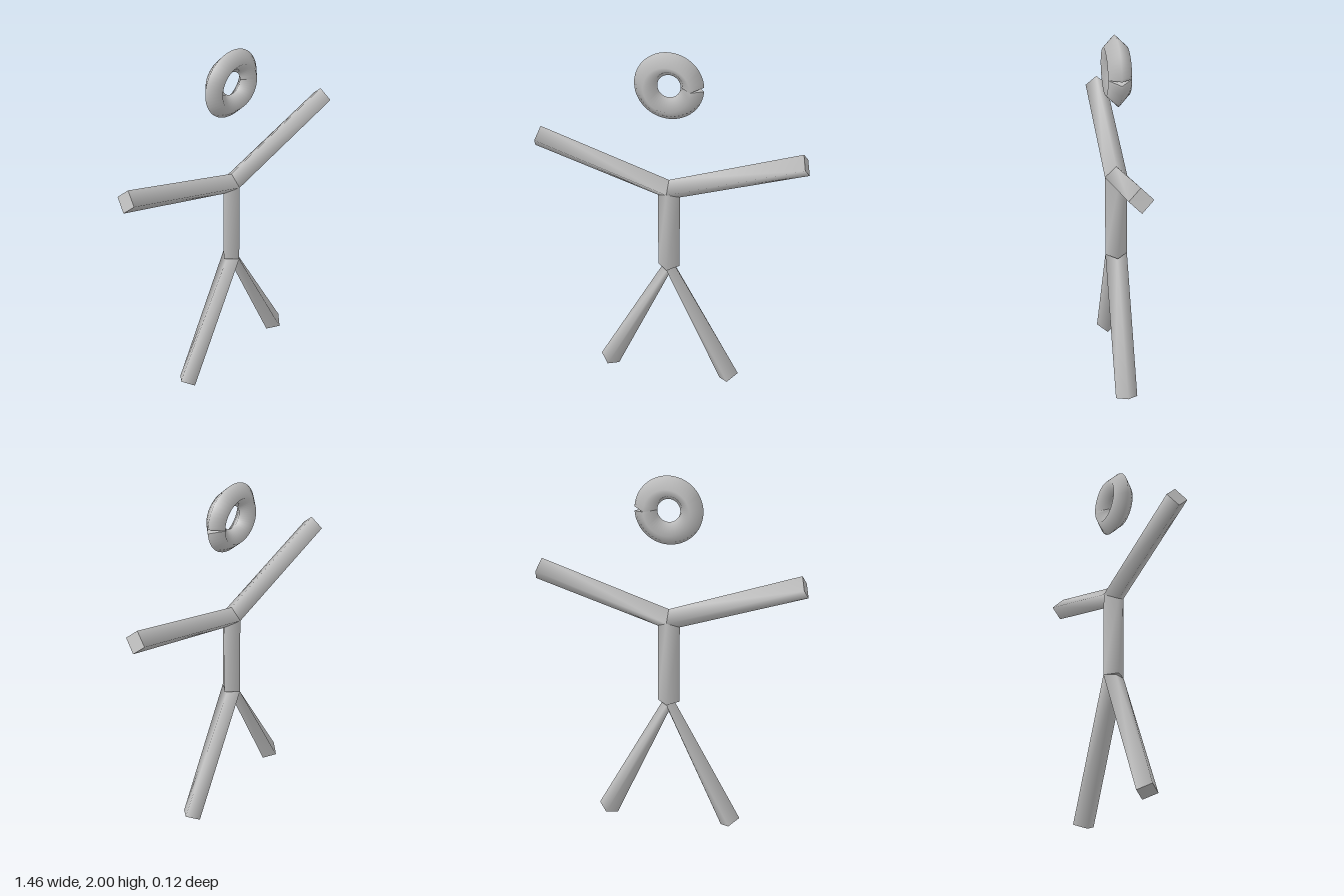
import * as THREE from 'three';

const R = 0.06; // half width of every diamond-section limb

// Diamond ring: two in-plane corners (x, y) and a centre for the front/back ridges.
// Corners run counter-clockwise about the direction of travel.
const ring = (a, centre, b) => [
  [a[0], a[1], 0], [centre[0], centre[1], R], [b[0], b[1], 0], [centre[0], centre[1], -R],
];

const mirrorX = (rings) => rings.map((r) => r.map(([x, y, z]) => [-x, y, z]).reverse());

// Smooth-sided sweep through four-cornered rings, with flat end caps.
function sweep(name, rings, material, capStart, capEnd) {
  const pos = rings.flat(2);
  const index = [];
  for (let i = 0; i < rings.length - 1; i++) {
    for (let j = 0; j < 4; j++) {
      const k = (j + 1) % 4;
      const a = i * 4 + j, b = i * 4 + k, c = b + 4, d = a + 4;
      index.push(a, b, c, a, c, d);
    }
  }
  const addCap = (r, flip) => {
    for (const tri of [[0, 1, 3], [1, 2, 3]]) {
      const base = pos.length / 3;
      for (const t of flip ? tri.reverse() : tri) pos.push(...r[t]);
      index.push(base, base + 1, base + 2);
    }
  };
  if (capStart) addCap(rings[0], true);
  if (capEnd) addCap(rings[rings.length - 1], false);
  const geo = new THREE.BufferGeometry();
  geo.setAttribute('position', new THREE.Float32BufferAttribute(pos, 3));
  geo.setIndex(index);
  geo.computeVertexNormals();
  const mesh = new THREE.Mesh(geo, material);
  mesh.name = name;
  return mesh;
}

export function createModel() {
  const group = new THREE.Group();
  group.name = 'stickFigure';
  const grey = new THREE.MeshStandardMaterial({ color: 0xc0c0c0 });
  grey.name = 'light grey';

  // Head: diamond-section hoop with a small notch on its left side
  const headRings = [];
  const steps = 48, notch = 0.06;
  for (let i = 0; i <= steps; i++) {
    const t = (i / steps) * Math.PI * 2;
    const outer = Math.min(Math.max(t, notch), Math.PI * 2 - notch);
    const at = (radius, angle) => [radius * Math.cos(angle), 1.82 + radius * Math.sin(angle)];
    headRings.push(ring(at(0.06, t), at(0.12, t), at(0.18, outer)));
  }
  group.add(sweep('head', headRings, grey, true, true));

  // Trunk: notched at the top to meet the arms
  group.add(sweep('trunk', [
    ring([R, 1.187], [0, 1.225], [-R, 1.187]),
    ring([R, 0.75], [0, 0.75], [-R, 0.75]),
  ], grey, false, true));

  // Arms: mitred together above the trunk
  const arm = [
    ring([0, 1.285], [0, 1.225], [R, 1.187]),
    ring([0.695, 1.52], [0.713, 1.462], [0.732, 1.404]),
  ];
  group.add(sweep('leftArm', arm, grey, false, true));
  group.add(sweep('rightArm', mirrorX(arm), grey, false, true));

  // Legs: pinched where they meet at the crotch
  const leg = [
    ring([0.032, 0.75], [0, 0.75], [0, 0.685]),
    ring([0.41, 0.057], [0.357, 0.03], [0.304, 0.003]),
  ];
  group.add(sweep('leftLeg', leg, grey, false, true));
  group.add(sweep('rightLeg', mirrorX(leg), grey, false, true));

  return group;
}
